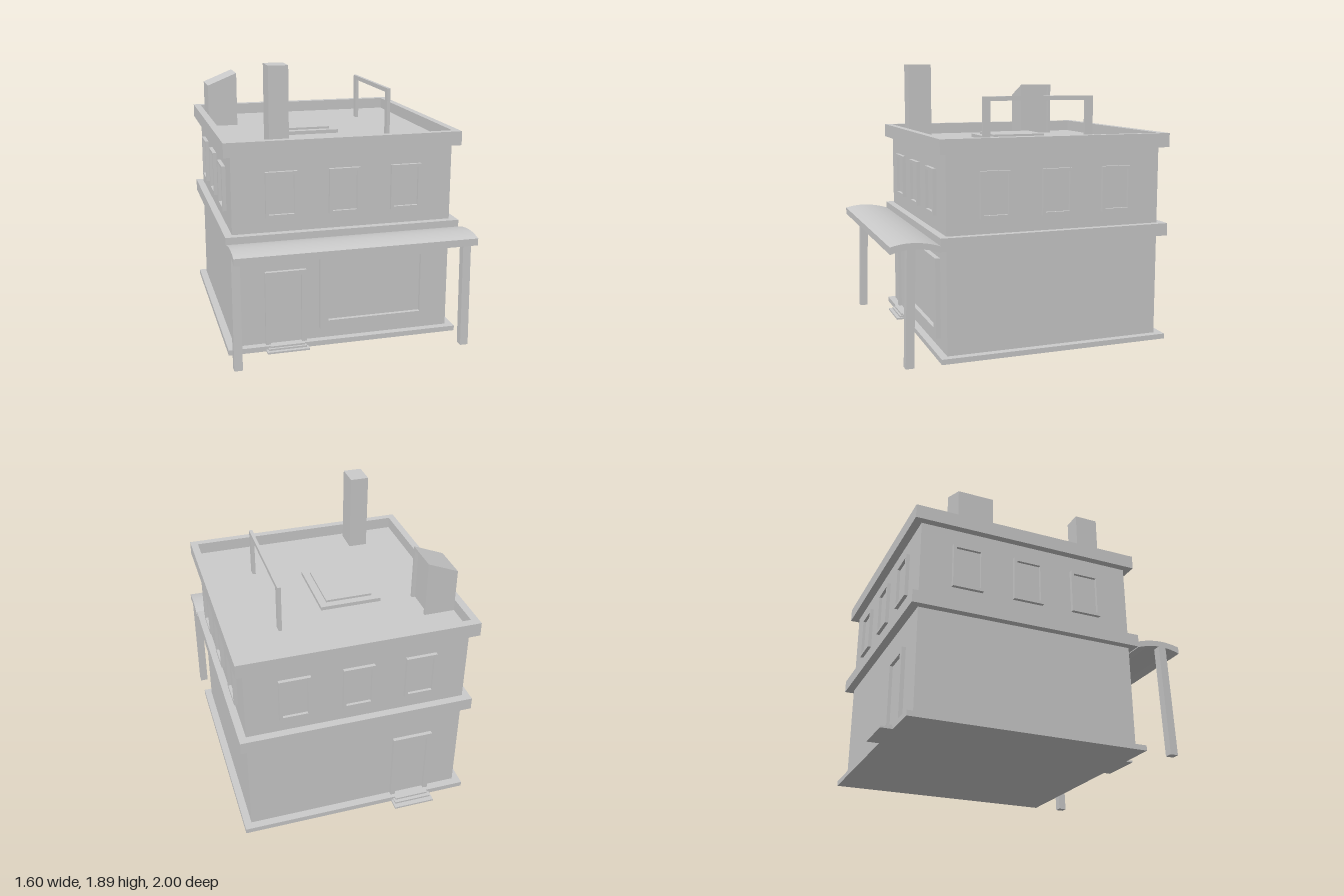
import * as THREE from 'three';

const material = new THREE.MeshStandardMaterial({ color: 0xcccccc, flatShading: true });
const smooth = new THREE.MeshStandardMaterial({ color: 0xcccccc });

function add(parent, name, geometry, mat = material) {
  const mesh = new THREE.Mesh(geometry, mat);
  mesh.name = name;
  parent.add(mesh);
  return mesh;
}

// Box given by its limits on each axis
function box(parent, name, [x0, x1], [y0, y1], [z0, z1]) {
  const geometry = new THREE.BoxGeometry(x1 - x0, y1 - y0, z1 - z0);
  geometry.translate((x0 + x1) / 2, (y0 + y1) / 2, (z0 + z1) / 2);
  return add(parent, name, geometry);
}

function polygon(points, Type = THREE.Shape) {
  return new Type(points.map(([x, y]) => new THREE.Vector2(x, y)));
}

const rect = (x0, x1, y0, y1, Type) => polygon([[x0, y0], [x1, y0], [x1, y1], [x0, y1]], Type);

const extrude = (shape, depth) => new THREE.ExtrudeGeometry(shape, { depth, bevelEnabled: false });

// Raised frame around a pane; local +z points out of the wall
function framedOpening(name, w, h, border, depth, isDoor) {
  const group = new THREE.Group();
  group.name = name;
  const x = w / 2, i = x - border;
  let shape;
  if (isDoor) {
    shape = polygon([[-x, 0], [-i, 0], [-i, h - border], [i, h - border], [i, 0], [x, 0], [x, h], [-x, h]]);
  } else {
    shape = rect(-x, x, 0, h);
    shape.holes.push(rect(-i, i, border, h - border, THREE.Path));
  }
  add(group, 'frame', extrude(shape, depth));
  box(group, 'pane', [-i, i], [isDoor ? 0 : border, h - border], [-0.005, 0.005]);
  return group;
}

export function createModel() {
  const model = new THREE.Group();
  model.name = 'shopBuilding';

  // Storeys and horizontal bands
  box(model, 'baseSlab', [-0.8, 0.8], [0, 0.035], [-0.92, 0.68]);
  box(model, 'groundFloor', [-0.75, 0.75], [0.035, 0.73], [-0.865, 0.63]);
  box(model, 'floorBand', [-0.8, 0.8], [0.73, 0.815], [-0.92, 0.68]);
  box(model, 'upperFloor', [-0.75, 0.75], [0.815, 1.35], [-0.865, 0.63]);

  // Parapet ring around the sunken roof
  const ring = rect(-0.8, 0.8, -0.68, 0.92);
  ring.holes.push(rect(-0.75, 0.75, -0.63, 0.865, THREE.Path));
  const parapet = add(model, 'parapet', extrude(ring, 0.095));
  parapet.rotation.x = -Math.PI / 2;
  parapet.position.y = 1.335;

  // Three windows on each wall of the upper floor
  const walls = [
    { name: 'front', angle: 0, at: (s) => [s, 0.63] },
    { name: 'back', angle: Math.PI, at: (s) => [s, -0.865] },
    { name: 'left', angle: Math.PI / 2, at: (s) => [0.75, s - 0.12] },
    { name: 'right', angle: -Math.PI / 2, at: (s) => [-0.75, s - 0.12] },
  ];
  for (const wall of walls) {
    for (const s of [-0.425, 0, 0.425]) {
      const unit = framedOpening(wall.name + 'Window', 0.21, 0.305, 0.021, 0.025, false);
      const [x, z] = wall.at(s);
      unit.position.set(x, 0.915, z);
      unit.rotation.y = wall.angle;
      model.add(unit);
    }
  }

  // Shop window
  const shopWindow = framedOpening('shopWindow', 0.77, 0.535, 0.058, 0.033, false);
  shopWindow.position.set(0.215, 0.11, 0.63);
  model.add(shopWindow);

  // Front and back doors
  for (const [name, z, angle] of [['frontDoor', 0.63, 0], ['backDoor', -0.865, Math.PI]]) {
    const door = framedOpening(name, 0.28, 0.51, 0.033, 0.027, true);
    door.position.set(-0.403, 0.035, z);
    door.rotation.y = angle;
    model.add(door);
  }

  // Low steps in front of the doors
  [[0.144, 0.012, 0.73, -1.0], [0.13, 0.024, 0.705, -0.965], [0.118, 0.036, 0.69, -0.94]].forEach(([half, top, front, back]) => {
    const xs = [-0.403 - half, -0.403 + half];
    box(model, 'frontStep', xs, [0, top], [0.63, front]);
    box(model, 'backStep', xs, [0, top], [back, -0.87]);
  });

  // Arched awning: side profile in (z, y), extruded across the front
  const profile = new THREE.Shape();
  profile.moveTo(0.675, 0.724);
  profile.quadraticCurveTo(0.85, 0.79, 1.0, 0.735);
  profile.lineTo(1.0, 0.782);
  profile.quadraticCurveTo(0.85, 0.825, 0.675, 0.766);
  profile.closePath();
  const awningGeometry = new THREE.ExtrudeGeometry(profile, { depth: 1.6, bevelEnabled: false, curveSegments: 16 });
  awningGeometry.rotateY(-Math.PI / 2);
  awningGeometry.translate(0.8, 0, 0);
  add(model, 'awning', awningGeometry, smooth);

  // Slightly leaning awning posts
  const postSide = polygon([[0.86, 0], [0.915, 0], [0.895, 0.762], [0.84, 0.762]]);
  for (const x of [-0.745, 0.8]) {
    const post = add(model, 'awningPost', extrude(postSide, 0.055));
    post.rotation.y = -Math.PI / 2;
    post.position.x = x;
  }

  // Chimney and roof hatch
  box(model, 'chimney', [-0.49, -0.36], [1.34, 1.89], [0.42, 0.59]);
  box(model, 'hatchBase', [-0.32, 0.1], [1.34, 1.375], [-0.37, 0.12]);
  box(model, 'hatchLid', [-0.27, 0.05], [1.37, 1.39], [-0.32, 0.07]);

  // Roof access hut with a sloping top and a recessed door on its left
  const hut = new THREE.Group();
  hut.name = 'roofHut';
  model.add(hut);
  const slope = (x) => 1.735 + (x + 0.54) * 0.405;
  const core = polygon([[-0.75, 1.34], [-0.565, 1.34], [-0.565, slope(-0.565)], [-0.75, slope(-0.75)]]);
  add(hut, 'hutBody', extrude(core, 0.25)).position.z = -0.617;
  const jamb = polygon([[-0.565, 1.34], [-0.54, 1.34], [-0.54, 1.735], [-0.565, slope(-0.565)]]);
  for (const z of [-0.617, -0.387]) add(hut, 'hutDoorJamb', extrude(jamb, 0.02)).position.z = z;
  const lintel = polygon([[-0.565, 1.714], [-0.54, 1.714], [-0.54, 1.735], [-0.565, slope(-0.565)]]);
  add(hut, 'hutDoorLintel', extrude(lintel, 0.21)).position.z = -0.597;

  // Roof rail
  box(model, 'railBar', [0.41, 0.432], [1.645, 1.675], [-0.525, 0.278]);
  box(model, 'railPostFront', [0.41, 0.432], [1.34, 1.645], [0.225, 0.278]);
  box(model, 'railPostBack', [0.41, 0.432], [1.34, 1.645], [-0.525, -0.467]);

  return model;
}
